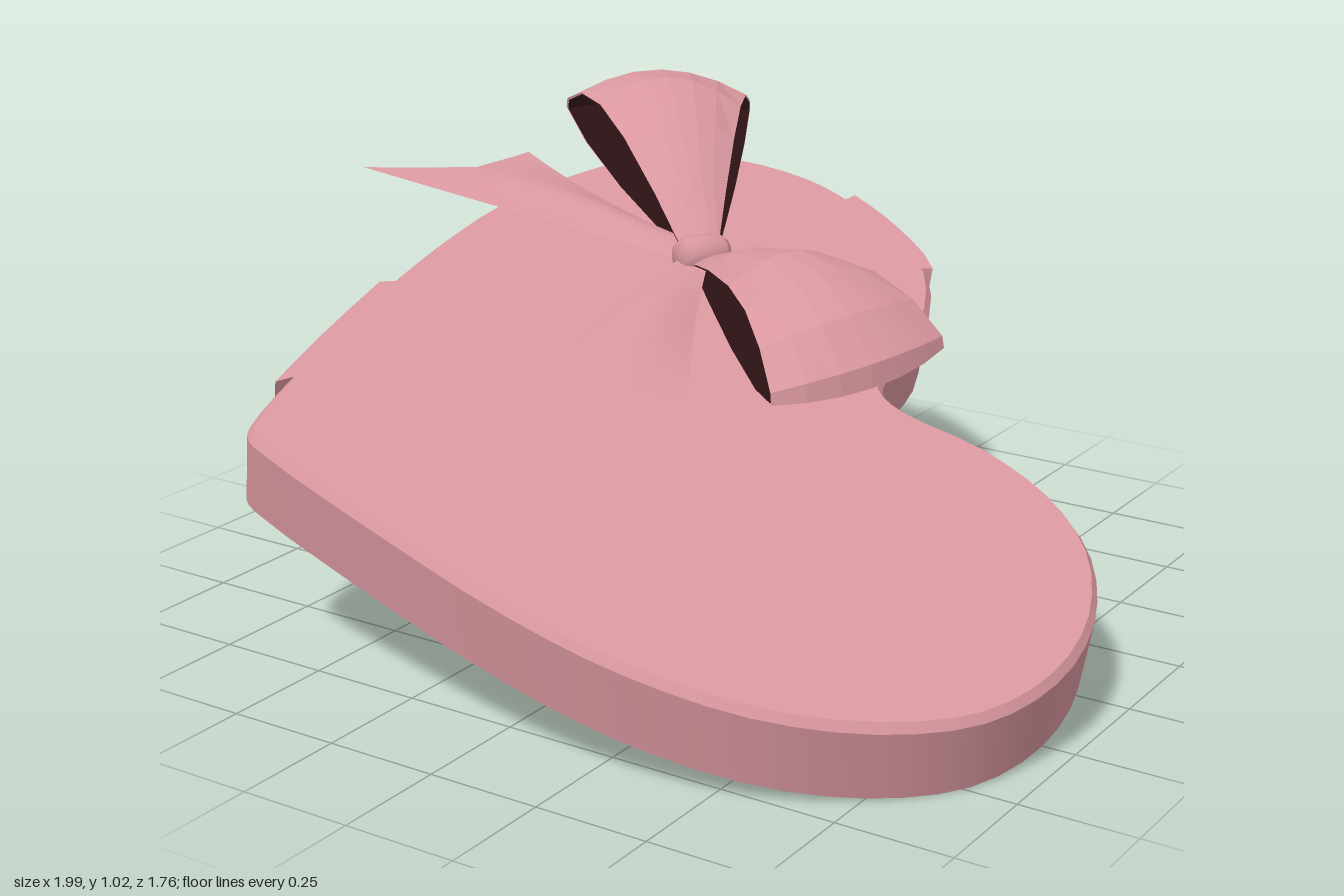
import * as THREE from 'three';
import { toCreasedNormals } from 'three/addons/utils/BufferGeometryUtils.js';

const mat = (name, color) => new THREE.MeshStandardMaterial({ name, color, side: THREE.DoubleSide });

// The lid lies in a tilted plane; bow heights are measured straight up from it
const planeY = (x, z) => 0.526 - 0.263 * x - 0.196 * z;
const normal = new THREE.Vector3(0.263, 1, 0.196).normalize();
const above = (x, z, h) => new THREE.Vector3(x, planeY(x, z) + h, z);
const onLid = (p, h) => above(p.x, p.y, 0).addScaledVector(normal, h);
const KNOT = new THREE.Vector2(-0.25, -0.33);
const DEPTH = 0.18;

// Heart outline (x, z): tip, right lobe, notch, back lobe, left side
const HEART = [
  [-0.61, 0.805], [-0.57, 0.82], [-0.2, 0.862], [0.1, 0.88], [0.35, 0.865], [0.6, 0.8], [0.8, 0.68],
  [0.94, 0.52], [0.995, 0.33], [0.975, 0.13], [0.88, -0.05], [0.73, -0.16], [0.55, -0.205],
  [0.36, -0.2], [0.29, -0.23], [0.26, -0.32], [0.24, -0.5], [0.14, -0.7], [0, -0.79], [-0.15, -0.84],
  [-0.28, -0.852], [-0.45, -0.805], [-0.61, -0.68], [-0.71, -0.45], [-0.755, -0.22], [-0.755, 0],
  [-0.735, 0.22], [-0.68, 0.57], [-0.63, 0.775],
];
const curve = new THREE.CatmullRomCurve3(HEART.map(([x, z]) => new THREE.Vector3(x, 0, z)), true, 'centripetal');
const N = HEART.length * 3;
const outline = Array.from({ length: N }, (_, i) => {
  const p = curve.getPoint(i / N);
  return new THREE.Vector2(p.x, p.z);
});

// Outline moved inwards by d
function inset(d) {
  return outline.map((p, i) => {
    const t = outline[(i + 1) % N].clone().sub(outline[(i + N - 1) % N]).normalize();
    return new THREE.Vector2(p.x + t.y * d, p.y - t.x * d);
  });
}

function nearest(x, z) {
  const q = new THREE.Vector2(x, z);
  return outline.reduce((best, p, i) => (p.distanceTo(q) < outline[best].distanceTo(q) ? i : best), 0);
}

// Surface through rows of points
function sheet(rows, crease = 0.5) {
  const pos = [], index = [], n = rows[0].length;
  rows.forEach(r => r.forEach(p => pos.push(p.x, p.y, p.z)));
  for (let i = 0; i + 1 < rows.length; i++) {
    for (let j = 0; j + 1 < n; j++) {
      const a = i * n + j, b = a + n;
      index.push(a, b, a + 1, b, b + 1, a + 1);
    }
  }
  const g = new THREE.BufferGeometry();
  g.setAttribute('position', new THREE.Float32BufferAttribute(pos, 3));
  g.setIndex(index);
  return toCreasedNormals(g, crease);
}

// Flat heart-plane panel bounded by the given points; facing is 1 for up, -1 for down
function panel(points, h, facing) {
  const pos = [];
  THREE.ShapeUtils.triangulateShape(points, []).forEach(f => {
    const [a, b, c] = f.map(k => points[k]);
    const up = (b.x - a.x) * (c.y - a.y) - (b.y - a.y) * (c.x - a.x) < 0;
    (up === facing > 0 ? [a, b, c] : [a, c, b]).forEach(p => pos.push(...onLid(p, h).toArray()));
  });
  const g = new THREE.BufferGeometry();
  g.setAttribute('position', new THREE.Float32BufferAttribute(pos, 3));
  g.computeVertexNormals();
  return g;
}

export function createModel() {
  const pink = mat('dusty pink', 0xd9979f);
  const dark = mat('dark maroon lining', 0x2a1113);
  const grey = mat('grey lining', 0x8a8686);
  const group = new THREE.Group();
  const add = (name, geometry, material, parent = group) => {
    const m = new THREE.Mesh(geometry, material);
    m.name = name;
    parent.add(m);
    return m;
  };

  // Lid: wall with a softened top edge, flat top and lower lip
  const bevel = inset(0.014), lip = inset(0.018);
  const ring = (pts, h) => [...pts, pts[0]].map(p => onLid(p, h));
  add('lidWall', sheet([ring(outline, -DEPTH), ring(outline, -0.018), ring(bevel, 0)], 0.3), pink);
  add('lidTop', panel(bevel, 0, 1), pink);
  add('lidLip', sheet([ring(outline, -DEPTH), ring(lip, -DEPTH)]), pink);

  // Hollow inside, lined in sections
  const notch = nearest(0.29, -0.23), left = nearest(-0.755, 0.05);
  const closed = [...lip, lip[0]];
  const innerWall = (a, b) => {
    const part = closed.slice(a, b + 1);
    return sheet([part.map(p => onLid(p, -0.02)), part.map(p => onLid(p, -DEPTH))], 0.3);
  };
  add('innerWallFront', innerWall(0, notch), pink);
  add('innerWallBack', innerWall(notch, left), dark);
  add('innerWallLeft', innerWall(left, N), grey);
  add('ceilingFront', panel([...lip.slice(0, notch + 1), ...lip.slice(left)], -0.02, -1), pink);
  add('ceilingBack', panel(lip.slice(notch, left + 1), -0.02, -1), dark);

  // Flat ribbons fanning from the knot and folding down over the wall
  const outer = inset(-0.007);
  const band = (name, a, b) => {
    const part = outer.slice(Math.min(a, b), Math.max(a, b) + 1);
    const edge = part.map(p => onLid(p, 0.009));
    const start = part.map(p => onLid(KNOT.clone().lerp(p, 0.06), 0.012));
    add(name, sheet([part.map(p => onLid(p, -DEPTH)), edge, start], 0.3), pink);
  };
  band('ribbonBack', nearest(0.14, -0.7), nearest(-0.15, -0.84));
  band('ribbonLeft', nearest(-0.735, 0.25), nearest(-0.672, 0.62));

  const bow = new THREE.Group();
  bow.name = 'bow';
  group.add(bow);

  // Bow loops: a side profile (reach, height) swept through an angle about the knot
  const LOOP = [
    [0.03, 0.05], [0.15, 0.135], [0.3, 0.21], [0.42, 0.228], [0.52, 0.195], [0.595, 0.13],
    [0.6, 0.08], [0.5, 0.045], [0.32, 0.025], [0.15, 0.025], [0.03, 0.03],
  ];
  const loopSheet = (angle, shrink, reach) => sheet(LOOP.map(([s, h], k) => {
    const row = [];
    const r = (s + (0.35 - s) * shrink) * reach, y = h + (0.11 - h) * shrink;
    for (let j = -3; j <= 3; j++) {
      const t = j / 3, a = angle + t * 0.385;
      const crown = k < 6 ? 0.055 * t * t * Math.sin(Math.PI * Math.min(1, s / 0.7)) : 0;
      // slight width at the knot keeps the gathered end from closing to a point
      const w = t * 0.035 * (1 - r / 0.65);
      row.push(above(KNOT.x + Math.cos(a) * r - Math.sin(angle) * w,
        KNOT.y + Math.sin(a) * r + Math.cos(angle) * w, y - crown));
    }
    return row;
  }), 0.12);
  [['backLoop', -2.34, 1], ['frontLoop', 0.37, 1.04]].forEach(([name, angle, reach]) => {
    add(name, loopSheet(angle, 0, reach), pink, bow);
    add(name + 'Lining', loopSheet(angle, 0.035, reach), dark, bow);
  });

  // Bow tails: swept between two edge curves, with a notched end; points are (x, height, z)
  const tail = (name, e1, e2) => {
    const [c1, c2] = [e1, e2].map(e => new THREE.QuadraticBezierCurve3(...e.map(p => new THREE.Vector3(...p))));
    const rows = [];
    for (let i = 0; i <= 10; i++) {
      const row = [];
      for (let j = 0; j <= 8; j++) {
        const v = j / 8, u = (i / 10) * (1 - 0.13 * (1 - Math.abs(2 * v - 1)));
        const p = c1.getPoint(u).lerp(c2.getPoint(u), v);
        row.push(above(p.x, p.z, p.y + 0.03 * Math.sin(Math.PI * v) * Math.sin(Math.PI * u)));
      }
      rows.push(row);
    }
    add(name, sheet(rows), pink, bow);
  };
  tail('leftTail',
    [[-0.27, 0.035, -0.29], [-0.68, 0.005, -0.22], [-1.0, 0.063, -0.04]],
    [[-0.28, 0.04, -0.36], [-0.55, 0.02, -0.36], [-0.79, 0.04, -0.4]]);
  tail('frontTail',
    [[-0.28, 0.035, -0.29], [-0.31, 0.02, 0.1], [-0.22, 0.04, 0.46]],
    [[-0.21, 0.04, -0.29], [-0.1, 0.03, -0.05], [0.02, 0.03, 0.13]]);

  // Knot: a short rounded band
  const knotProfile = [[0.0, -0.062], [0.03, -0.062], [0.042, -0.045], [0.046, 0], [0.042, 0.045], [0.03, 0.062], [0, 0.062]]
    .map(([x, y]) => new THREE.Vector2(x, y));
  const knot = add('knot', new THREE.LatheGeometry(knotProfile, 14), pink, bow);
  knot.position.copy(above(KNOT.x, KNOT.y, 0.04));
  knot.quaternion.setFromUnitVectors(new THREE.Vector3(0, 1, 0), new THREE.Vector3(-0.42, 0.02, 0.9).normalize());

  return group;
}
